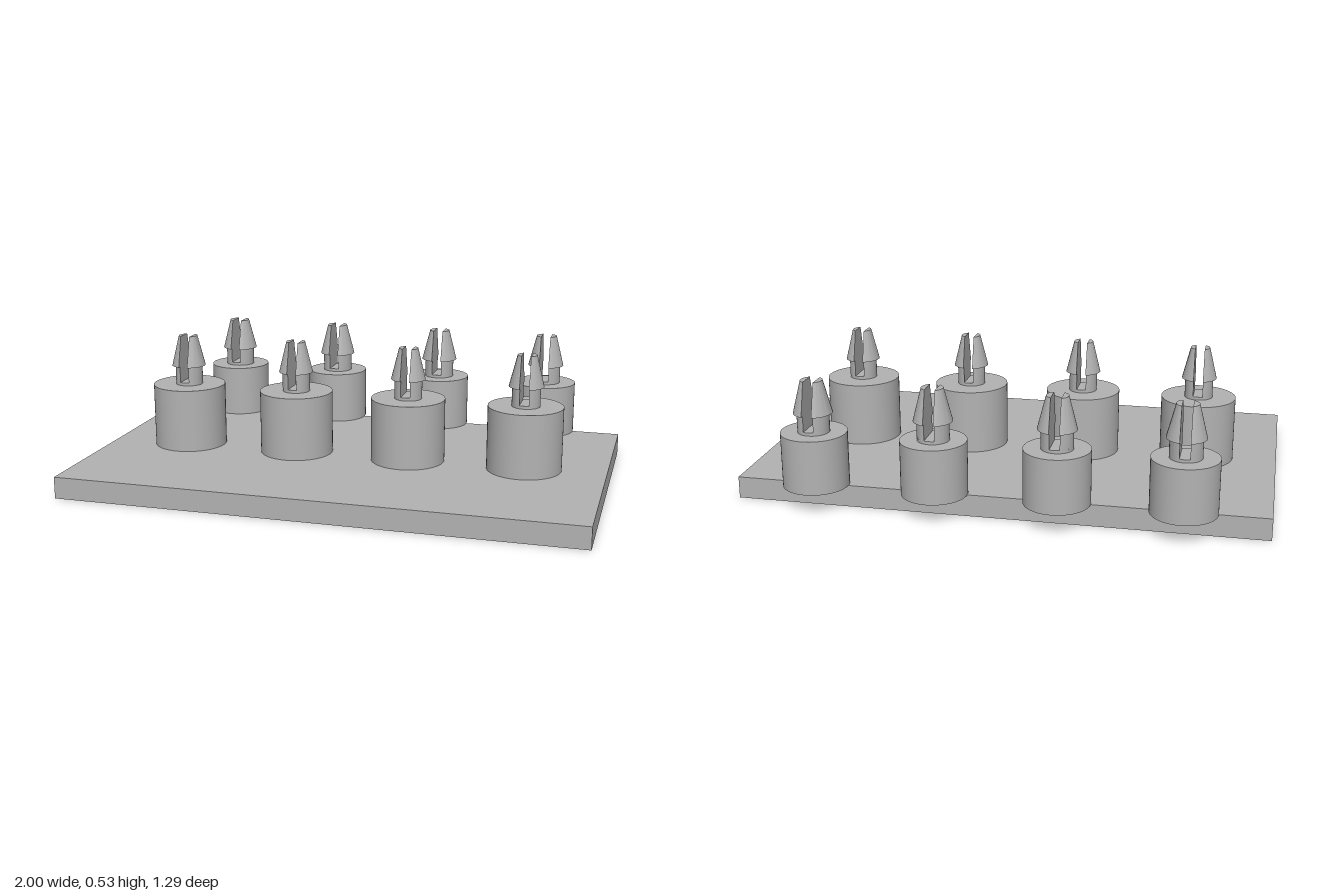
import * as THREE from 'three';
import { toCreasedNormals } from 'three/addons/utils/BufferGeometryUtils.js';

const ARC = 24;

// Half of a split pin: circular segments (x > gap) lofted through [height, radius] sections
function prongGeometry(sections, gap) {
  const pos = [], idx = [], n = ARC + 1;
  for (const [y, r] of sections) {
    const limit = Math.acos(gap / r);
    for (let i = 0; i < n; i++) {
      const a = -limit + (2 * limit * i) / ARC;
      pos.push(r * Math.cos(a), y, r * Math.sin(a));
    }
  }
  for (let s = 0; s < sections.length - 1; s++) {
    for (let i = 0; i < n; i++) {
      const a = s * n + i, b = s * n + ((i + 1) % n);
      idx.push(a, a + n, b, b, a + n, b + n);
    }
  }
  const top = (sections.length - 1) * n;
  for (let k = 1; k < n - 1; k++) idx.push(top, top + k + 1, top + k);
  const g = new THREE.BufferGeometry();
  g.setAttribute('position', new THREE.Float32BufferAttribute(pos, 3));
  g.setIndex(idx);
  return toCreasedNormals(g, 0.6);
}

export function createModel() {
  const model = new THREE.Group();
  model.name = 'standoffBoard';
  const grey = new THREE.MeshStandardMaterial({ color: 0xb3b3b3 });
  grey.name = 'grey plastic';

  const add = (parent, name, geometry, x = 0, y = 0, z = 0) => {
    const mesh = new THREE.Mesh(geometry, grey);
    mesh.name = name;
    mesh.position.set(x, y, z);
    parent.add(mesh);
    return mesh;
  };

  // Base plate
  const plateTop = 0.084;
  add(model, 'basePlate', new THREE.BoxGeometry(2, plateTop, 1.165), 0, plateTop / 2, 0.0625);

  // Two rows of posts with split snap pins; the back row overhangs the plate edge
  const rows = [
    { name: 'frontPost', z: 0.063, radius: 0.144, top: 0.333, slot: 0.345, neck: 0.054,
      barbY: 0.409, barb: 0.067, tipY: 0.531, tip: 0.037, gap: 0.018 },
    { name: 'backPost', z: -0.521, radius: 0.124, top: 0.292, slot: 0.304, neck: 0.06,
      barbY: 0.365, barb: 0.073, tipY: 0.49, tip: 0.041, gap: 0.019 },
  ];

  for (const r of rows) {
    const bodyHeight = r.top - plateTop;
    const body = new THREE.CylinderGeometry(r.radius, r.radius, bodyHeight, 64);
    const foot = new THREE.CylinderGeometry(r.neck, r.neck, r.slot - r.top, 48);
    const prong = prongGeometry(
      [[r.slot, r.neck], [r.barbY, r.neck], [r.barbY, r.barb], [r.tipY, r.tip]], r.gap);

    for (const x of [-0.687, -0.23, 0.227, 0.685]) {
      const post = new THREE.Group();
      post.name = r.name;
      post.position.set(x, 0, r.z);
      add(post, 'postBody', body, 0, plateTop + bodyHeight / 2);
      add(post, 'pinFoot', foot, 0, (r.top + r.slot) / 2);
      add(post, 'leftProng', prong);
      add(post, 'rightProng', prong).rotation.y = Math.PI;
      model.add(post);
    }
  }
  return model;
}
